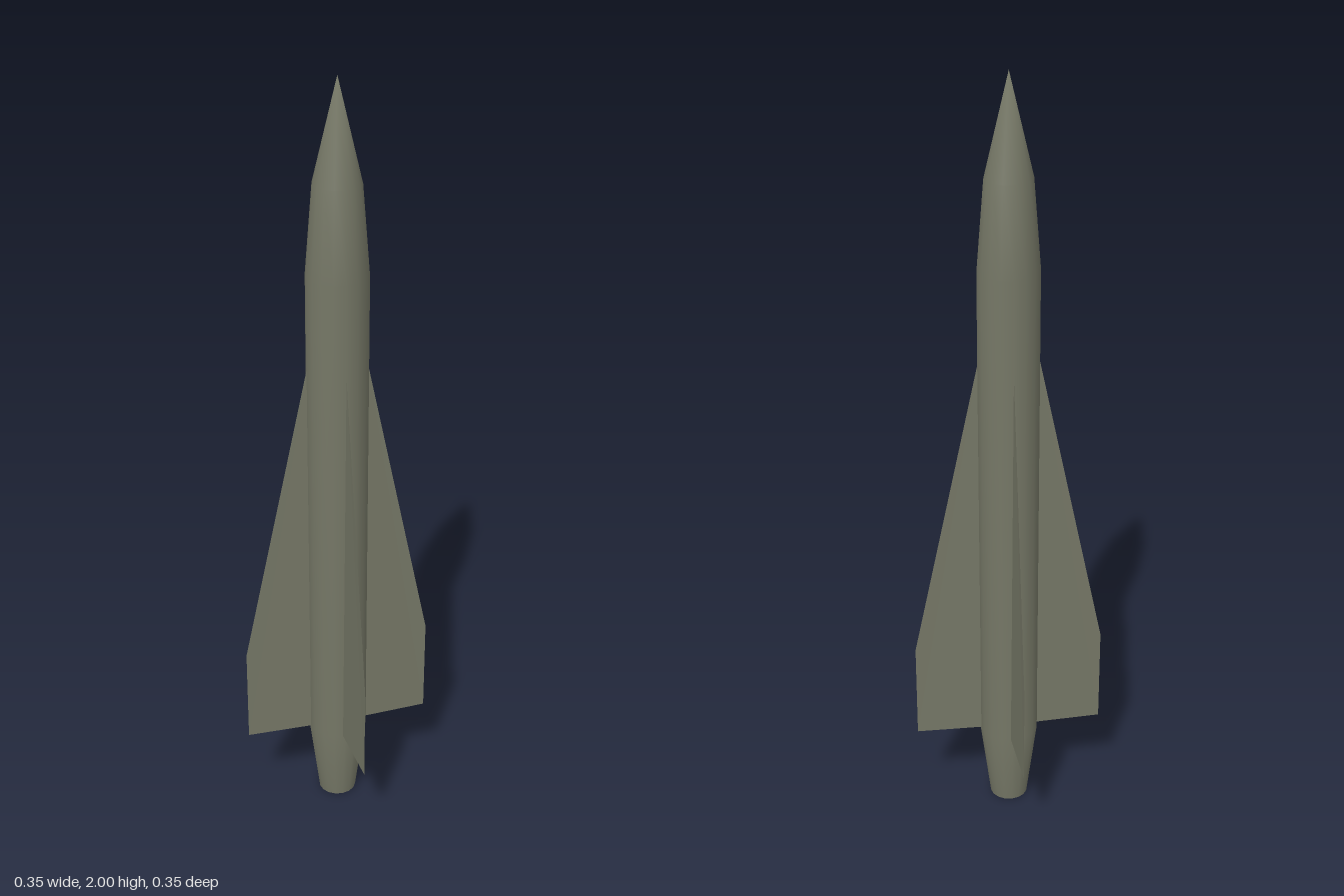
import * as THREE from 'three';
import { mergeVertices } from 'three/addons/utils/BufferGeometryUtils.js';

const SIDES = 16;

// Smooth hull from tail to nose, with normals shared across the seam and tip.
function hullGeometry() {
  const profile = [[0.05, 0], [0.078, 0.22], [0.078, 1.525], [0.06, 1.75], [0, 2]];
  const lathe = new THREE.LatheGeometry(profile.map(([r, y]) => new THREE.Vector2(r, y)), SIDES);
  lathe.deleteAttribute('uv');
  lathe.deleteAttribute('normal');
  const geometry = mergeVertices(lathe);
  geometry.computeVertexNormals();
  return geometry;
}

// Thin delta fin: sharp leading and outer edges, thickest at the root's rear.
function finGeometry() {
  const half = 0.0065;
  const apex = [0.076, 1.295, 0];
  const rootA = [0.074, 0.22, half];
  const rootB = [0.074, 0.22, -half];
  const tipTop = [0.25, 0.48, 0];
  const tipBottom = [0.25, 0.22, 0];
  const faces = [
    apex, rootA, tipBottom, apex, tipBottom, tipTop, // one side
    apex, tipBottom, rootB, apex, tipTop, tipBottom, // other side
    rootA, rootB, tipBottom, // trailing edge
    apex, rootB, rootA, // root
  ];
  const geometry = new THREE.BufferGeometry();
  geometry.setAttribute('position', new THREE.Float32BufferAttribute(faces.flat(), 3));
  geometry.computeVertexNormals();
  return geometry;
}

export function createModel() {
  const model = new THREE.Group();
  model.name = 'rocket';
  const olive = new THREE.MeshStandardMaterial({ color: 0x757766, side: THREE.DoubleSide });
  olive.name = 'olive grey';

  const addPart = (name, geometry) => {
    const mesh = new THREE.Mesh(geometry, olive);
    mesh.name = name;
    model.add(mesh);
    return mesh;
  };

  addPart('hull', hullGeometry());

  // Flat end of the tail
  addPart('tailCap', new THREE.CircleGeometry(0.05, SIDES)).rotation.x = Math.PI / 2;

  // Four fins on the diagonals
  const fin = finGeometry();
  for (let i = 0; i < 4; i++) {
    addPart('fin' + (i + 1), fin).rotation.y = Math.PI / 4 + i * Math.PI / 2;
  }
  return model;
}
